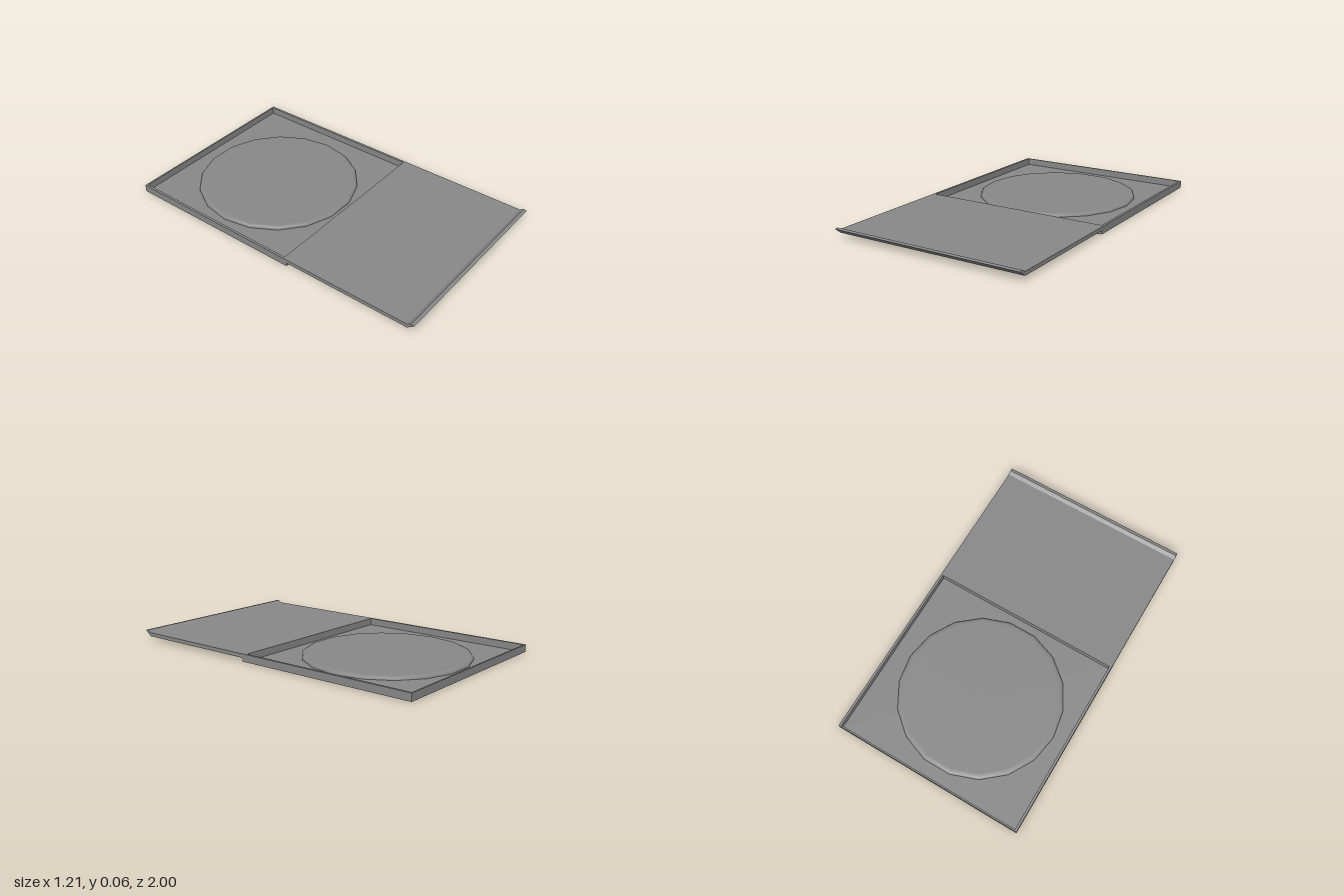
import * as THREE from 'three';

const HALF_W = 0.605, FLOOR = 0.005, TOP = 0.048;
const BACK = -1, STEP = 0.15;

const material = new THREE.MeshStandardMaterial({ color: 0x888888 });

function addPart(group, name, geometry) {
  const mesh = new THREE.Mesh(geometry, material);
  mesh.name = name;
  group.add(mesh);
  return mesh;
}

// Counter-clockwise corners of a rectangle in plan, given as x and z
const rectangle = (halfW, z0, z1) => [[-halfW, z1], [halfW, z1], [halfW, z0], [-halfW, z0]]
  .map(([x, z]) => new THREE.Vector2(x, -z));

export function createModel() {
  const model = new THREE.Group();
  model.name = 'trayWithShelf';

  // Raised frame around the recess
  const frameBottom = 0.003;
  const frame = new THREE.Shape(rectangle(HALF_W, BACK, STEP));
  frame.holes.push(new THREE.Path(rectangle(0.59, -0.99, 0.127)));
  const frameGeometry = new THREE.ExtrudeGeometry(frame, { depth: TOP - frameBottom, bevelEnabled: false });
  frameGeometry.rotateX(-Math.PI / 2).translate(0, frameBottom, 0);
  addPart(model, 'trayFrame', frameGeometry);

  // Tray floor, set in a little from the sides and back of the frame
  const floorBack = -0.992;
  const floor = new THREE.BoxGeometry(2 * 0.592, FLOOR, STEP - floorBack);
  floor.translate(0, FLOOR / 2, (floorBack + STEP) / 2);
  addPart(model, 'trayFloor', floor);

  // Thin front shelf with an upturned lip, as a side profile of z and y
  const profile = [[0.15, 0.025], [0.957, 0.025], [1, 0.058], [0.994, 0.061],
    [0.98, 0.062], [0.957, TOP], [0.15, TOP]];
  const shelf = new THREE.ExtrudeGeometry(
    new THREE.Shape(profile.map(([z, y]) => new THREE.Vector2(-z, y))),
    { depth: 2 * HALF_W, bevelEnabled: false });
  shelf.translate(0, 0, -HALF_W).rotateY(Math.PI / 2);
  addPart(model, 'frontShelf', shelf);

  // Low eighteen-sided disc with a rounded rim
  const rim = [[0.5, FLOOR], [0.5, 0.014], [0.495, 0.02], [0.485, 0.024], [0.47, 0.025], [0, 0.025]];
  const disc = addPart(model, 'disc',
    new THREE.LatheGeometry(rim.map(([r, y]) => new THREE.Vector2(r, y)), 18, Math.PI / 2));
  disc.position.set(-0.013, 0, -0.416);

  return model;
}
